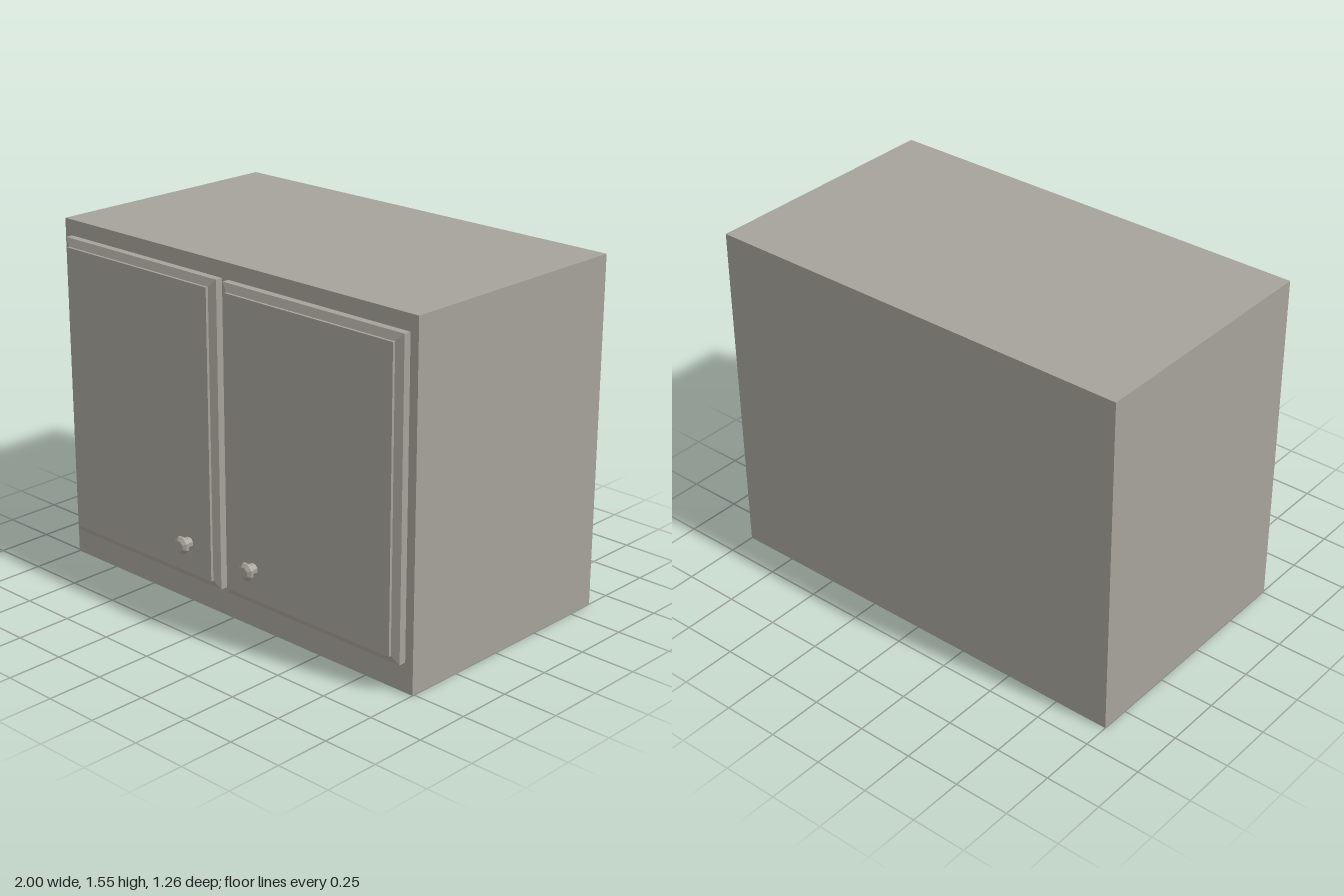
import * as THREE from 'three';

const paint = new THREE.MeshStandardMaterial({ color: 0xa6a29b });
paint.name = 'warm grey paint';

// Box between two z planes whose front face can be inset to form a bevel
function slab(name, w, h, z0, z1, inset = 0) {
  const geo = new THREE.BoxGeometry(w, h, z1 - z0);
  const p = geo.attributes.position;
  for (let i = 0; i < p.count; i++) {
    if (p.getZ(i) > 0) {
      p.setX(i, p.getX(i) - Math.sign(p.getX(i)) * inset);
      p.setY(i, p.getY(i) - Math.sign(p.getY(i)) * inset);
    }
  }
  geo.computeVertexNormals();
  const mesh = new THREE.Mesh(geo, paint);
  mesh.name = name;
  mesh.position.z = (z0 + z1) / 2;
  return mesh;
}

// Door: square-edged base, sloping edge moulding, raised centre panel
function makeDoor(name, x0, x1, y0, y1) {
  const door = new THREE.Group();
  door.name = name;
  const w = x1 - x0, h = y1 - y0, inset = 0.034;
  door.add(
    slab('doorBase', w, h, 0.51, 0.543),
    slab('doorBevel', w, h, 0.543, 0.556, inset),
    slab('doorPanel', w - 2 * inset, h - 2 * inset, 0.556, 0.568)
  );
  door.position.set((x0 + x1) / 2, (y0 + y1) / 2, 0);
  return door;
}

// Eight-sided knob: stem and chamfered head, turned to point forward
function makeKnob(name, x, y) {
  const profile = [[0, 0], [0.025, 0], [0.025, 0.03], [0.039, 0.036], [0.039, 0.048], [0.024, 0.06], [0, 0.06]]
    .map(([r, d]) => new THREE.Vector2(r, d));
  const geo = new THREE.LatheGeometry(profile, 8, Math.PI / 8).toNonIndexed();
  geo.computeVertexNormals();
  geo.rotateX(Math.PI / 2);
  const knob = new THREE.Mesh(geo, paint);
  knob.name = name;
  knob.position.set(x, y, 0.57);
  return knob;
}

export function createModel() {
  const cabinet = new THREE.Group();
  cabinet.name = 'wallCabinet';

  // Carcass
  const body = slab('cabinetBody', 2, 1.55, -0.63, 0.51);
  body.position.y = 0.775;
  cabinet.add(body);

  // Doors and knobs
  cabinet.add(
    makeDoor('rightDoor', -0.96, -0.037, 0.13, 1.48),
    makeDoor('leftDoor', 0, 0.96, 0.13, 1.48),
    makeKnob('rightKnob', -0.2, 0.305),
    makeKnob('leftKnob', 0.185, 0.305)
  );
  return cabinet;
}
